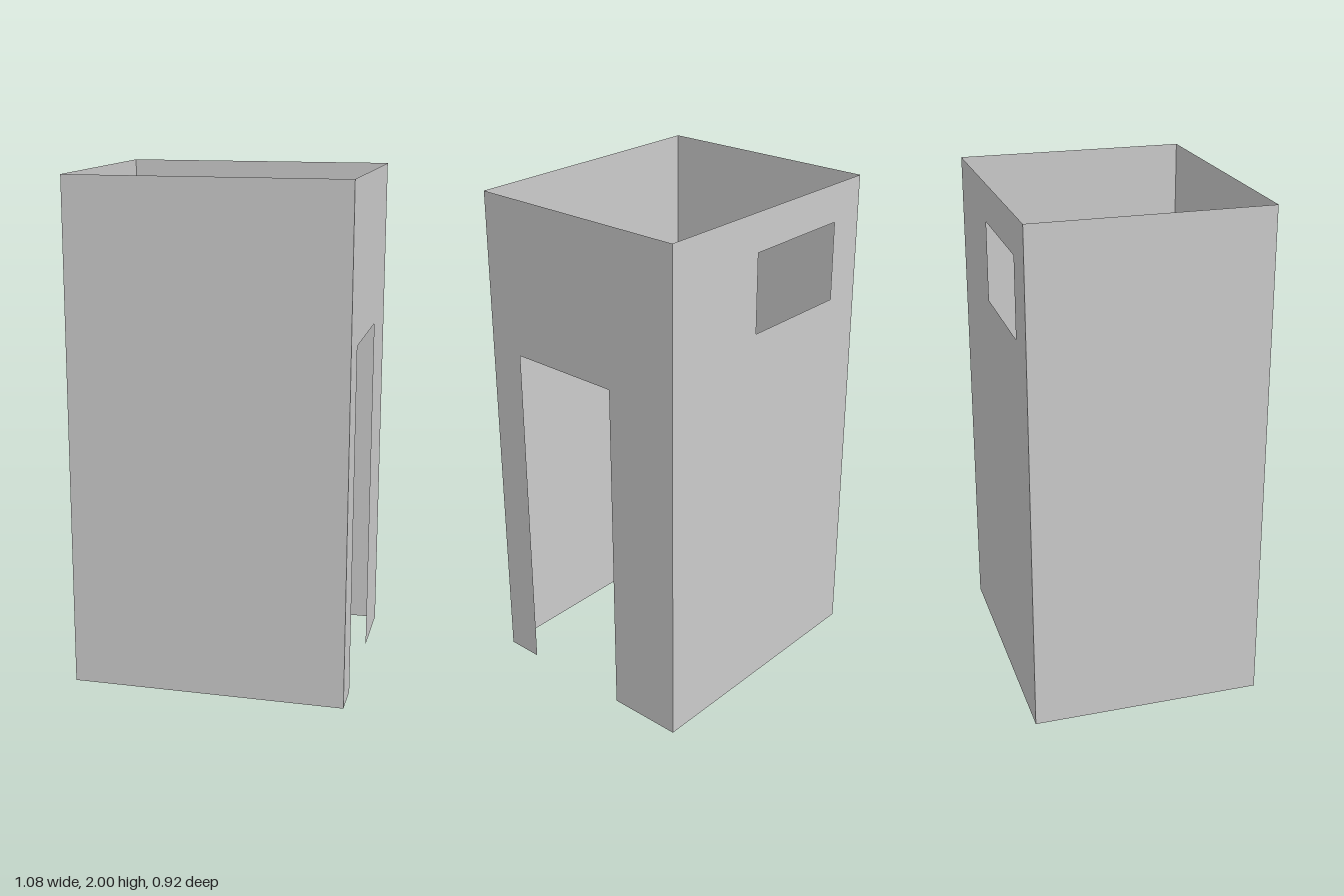
import * as THREE from 'three';

const HALF_W = 0.54, HALF_D = 0.458, HEIGHT = 2;

export function createModel() {
  const group = new THREE.Group();
  group.name = 'booth';
  const material = new THREE.MeshStandardMaterial({
    color: 0xcccccc, side: THREE.DoubleSide, flatShading: true,
  });

  const outline = (points) => new THREE.Shape(points.map(([x, y]) => new THREE.Vector2(x, y)));
  const panel = (half) => outline([[-half, 0], [half, 0], [half, HEIGHT], [-half, HEIGHT]]);

  // Thin upright sheet, drawn facing +z, then turned about y and set in place
  function addWall(name, shape, turn, x, z) {
    const wall = new THREE.Mesh(new THREE.ShapeGeometry(shape), material);
    wall.name = name;
    wall.rotation.y = turn;
    wall.position.set(x, 0, z);
    group.add(wall);
  }

  // Plain walls
  addWall('frontWall', panel(HALF_W), 0, 0, HALF_D);
  addWall('rightWall', panel(HALF_D), -Math.PI / 2, -HALF_W, 0);

  // Back wall with a window; seen from behind, so its own x is mirrored
  const back = panel(HALF_W);
  back.holes.push(outline([[-0.08, 1.54], [-0.08, 1.85], [0.385, 1.85], [0.385, 1.54]]));
  addWall('backWall', back, Math.PI, 0, -HALF_D);

  // Left wall with a doorway open to the ground; its own x runs along -z
  const door = outline([
    [-HALF_D, 0], [-0.31, 0], [-0.31, 1.385], [0.155, 1.385], [0.155, 0],
    [HALF_D, 0], [HALF_D, HEIGHT], [-HALF_D, HEIGHT],
  ]);
  addWall('leftWallWithDoorway', door, Math.PI / 2, HALF_W, 0);

  return group;
}
